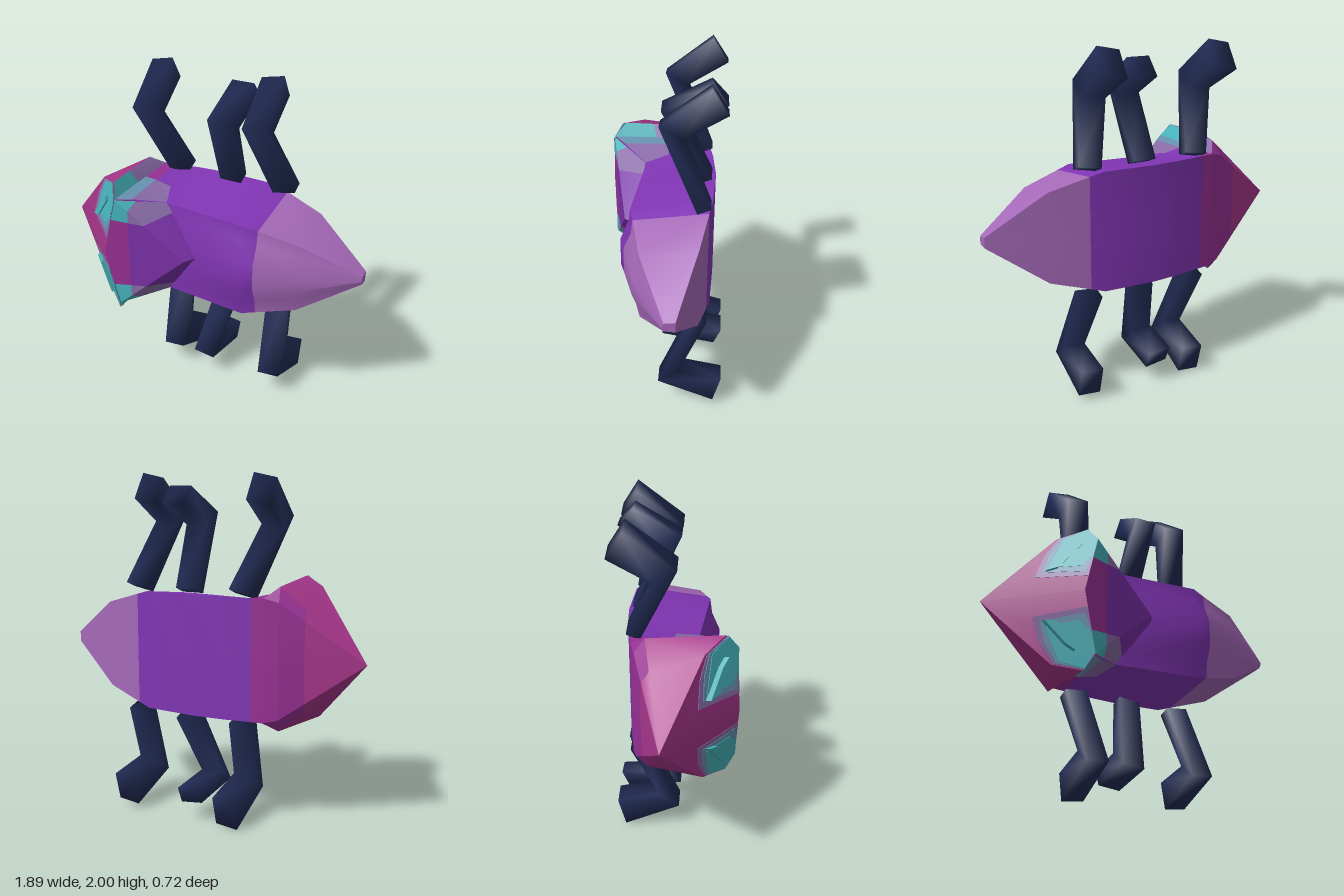
import * as THREE from 'three';
import { mergeVertices, toCreasedNormals } from 'three/addons/utils/BufferGeometryUtils.js';

const CY = 0.98; // height of the mirror plane
const mat = (name, color) => {
  const m = new THREE.MeshStandardMaterial({ color });
  m.name = name;
  return m;
};
const lerp = (a, b, t) => a.map((v, i) => v + (b[i] - v) * t);

// Surface from triangles or quads, mirrored about the mid plane and turned
// so that every face looks away from the inner axis; only sharp edges stay creased.
function mirrored(name, material, faces, xMin, xMax) {
  const pos = [];
  const add = (tri) => {
    const [a, b, c] = tri.map((p) => new THREE.Vector3(...p));
    const n = b.clone().sub(a).cross(c.clone().sub(a));
    if (n.length() < 1e-9) return;
    const mid = a.clone().add(b).add(c).divideScalar(3);
    const out = mid.clone().sub(new THREE.Vector3(THREE.MathUtils.clamp(mid.x, xMin, xMax), 0, -0.04));
    const order = n.dot(out) > 0 ? [a, b, c] : [a, c, b];
    order.forEach((p) => pos.push(p.x, p.y + CY, p.z));
  };
  for (const f of faces) {
    for (let i = 1; i < f.length - 1; i++) {
      const t = [f[0], f[i], f[i + 1]];
      add(t);
      add(t.map(([x, y, z]) => [x, -y, z]));
    }
  }
  const g = new THREE.BufferGeometry();
  g.setAttribute('position', new THREE.Float32BufferAttribute(pos, 3));
  const m = new THREE.Mesh(toCreasedNormals(g, 0.65), material);
  m.name = name;
  return m;
}

// Slanted plane of the face
const faceZ = (x, y) => -0.045 + 0.9 * (x + 0.95) - 0.263 * Math.abs(y);

// Thin plate lying on the face plane
function facePlate(name, material, pts, side, depth) {
  const shape = new THREE.Shape(pts.map(([x, y]) => new THREE.Vector2(x, y * side)));
  const g = new THREE.ExtrudeGeometry(shape, { depth, bevelEnabled: false });
  const p = g.attributes.position;
  for (let i = 0; i < p.count; i++) {
    const x = p.getX(i), y = p.getY(i);
    p.setXYZ(i, x, y + CY, faceZ(x, y) + p.getZ(i));
  }
  g.computeVertexNormals();
  const m = new THREE.Mesh(g, material);
  m.name = name;
  return m;
}

// Bent leg: profile in z / distance from the mid plane, slanted along x
function leg(material, side, [root, knee, foot, tip, tilt]) {
  const profile = side > 0
    ? [[-0.19, 0.35], [0.02, 0.8], [-0.25, tip], [-0.34, Math.max(tip - 0.14, 0.85)], [-0.11, 0.73], [-0.265, 0.38]]
    : [[-0.18, 0.355], [0.02, 0.82], [-0.31, tip], [-0.355, Math.max(tip - 0.17, 0.77)], [-0.1, 0.735], [-0.26, 0.38]];
  const shape = new THREE.Shape(profile.map(([z, d]) => new THREE.Vector2(-z, d * side)));
  let g = new THREE.ExtrudeGeometry(shape, { depth: 0.135, bevelEnabled: false });
  g.translate(0, 0, -0.0675).rotateY(Math.PI / 2);
  const p = g.attributes.position;
  for (let i = 0; i < p.count; i++) {
    const x = p.getX(i), y = p.getY(i);
    const shift = Math.abs(y) < 0.6 ? root : p.getZ(i) < -0.2 ? foot : knee;
    p.setX(i, x + shift);
    p.setY(i, y + CY + x * tilt);
  }
  // Soft normals across the whole limb
  g.deleteAttribute('normal');
  g.deleteAttribute('uv');
  g = mergeVertices(g, 1e-4);
  g.computeVertexNormals();
  const m = new THREE.Mesh(g, material);
  m.name = side > 0 ? 'upperLeg' : 'lowerLeg';
  return m;
}

// Half cross-section of the body from belly centre round to back centre
const ring = ([x, zb, wb, zt, wt, zm]) => [
  [x, 0, zb], [x, wb, zb], [x, wt, zt], [x, wt * 0.68, zt + (zm - zt) * 0.2], [x, wt * 0.3, zm], [x, 0, zm],
];

function loft(name, material, sections) {
  const rings = sections.map(ring), faces = [];
  for (let i = 0; i < rings.length - 1; i++) {
    for (let j = 0; j < 5; j++) {
      faces.push([rings[i][j], rings[i][j + 1], rings[i + 1][j + 1], rings[i + 1][j]]);
    }
  }
  if (name === 'tail') faces.push(rings[rings.length - 1]);
  return mirrored(name, material, faces, -0.35, 0.85);
}

export function createModel() {
  const magenta = mat('magenta head', 0xa8378c);
  const plum = mat('plum collar', 0x983094);
  const violet = mat('dark violet shield', 0x7a31a8);
  const purple = mat('purple body', 0x8135b4);
  const lilac = mat('lilac tail', 0xa569b8);
  const teal = mat('teal eyes', 0x46b4bd);
  const mist = mat('blue mist', 0x6893b2);
  const haze = mat('dusty violet', 0x8a6ca8);
  const navy = mat('navy legs', 0x222c55);

  const model = new THREE.Group();
  model.name = 'beetle';

  // Body and tail
  const collarEnd = [-0.35, -0.245, 0.35, 0.27, 0.335, 0.27];
  const tailStart = [0.39, -0.255, 0.327, 0.16, 0.27, 0.215];
  model.add(
    loft('collar', plum, [[-0.42, -0.235, 0.35, 0.33, 0.35, 0.33], collarEnd]),
    loft('body', purple, [collarEnd, [-0.2, -0.27, 0.35, 0.13, 0.29, 0.14],
      [0, -0.287, 0.35, 0.15, 0.29, 0.18], [0.31, -0.272, 0.35, 0.18, 0.29, 0.24], tailStart]),
    loft('tail', lilac, [tailStart, [0.62, -0.21, 0.26, 0.11, 0.21, 0.15],
      [0.945, -0.1, 0.03, -0.04, 0.025, -0.03]]),
  );

  // Pale marks on the sides of the collar
  model.add(
    mirrored('collarMark', mist, [[[-0.42, 0.355, 0], [-0.42, 0.355, 0.335], [-0.35, 0.342, 0.27], [-0.35, 0.349, 0]]], -0.4, -0.3),
    mirrored('collarMarkEdge', haze, [[[-0.35, 0.349, 0], [-0.35, 0.342, 0.27], [-0.2, 0.297, 0.135], [-0.25, 0.328, 0]]], -0.4, -0.2),
  );

  // Pointed head with a flared rim
  const P = [-0.95, 0, -0.045], C = [-0.5, 0, 0.36], A = [-0.42, 0.35, 0.34];
  const B = [-0.46, 0.43, 0.274], M = [-0.6, 0.385, faceZ(-0.6, 0.385)];
  const D = [-0.48, 0.41, -0.15], E = [-0.5, 0.33, -0.21], F = [-0.5, 0, -0.22];
  const G = [-0.42, 0.35, -0.235], H = [-0.42, 0, -0.235];
  const B2 = [-0.467, 0.423, 0.1], A2 = [-0.42, 0.35, 0.08];
  const [D1, E1, F1] = [D, E, F].map((p) => lerp(p, P, 0.3));
  model.add(
    mirrored('head', magenta, [[P, C, A, B, M], [P, M, D1], [M, B, D], [M, D, D1], [P, D1, E1], [P, E1, F1]], -0.7, -0.5),
    mirrored('headBack', plum, [[D1, D, E, E1], [E1, E, F, F1]], -0.7, -0.5),
    mirrored('headRimSide', teal, [[B, A, A2, B2]], -0.6, -0.6),
    mirrored('headRimFade', haze, [[B2, A2, G, D]], -0.6, -0.6),
    mirrored('headRimBack', plum, [[D, G, E], [E, G, H, F]], -0.6, -0.6),
  );

  // Triangular shield behind the head, with marked corners
  const T = [-0.03, 0, 0.25], T2 = [0.01, 0, 0.18], S = [-0.2, 0.295, 0.135];
  const C2 = [-0.35, 0, 0.325], K = [-0.35, 0.287, 0.324], U = [-0.26, 0.206, 0.303];
  const V = [-0.16, 0.24, 0.14], W = [-0.45, 0.22, 0.347], X = [-0.35, 0.212, 0.324];
  const L = lerp(A, S, 0.4);
  model.add(
    mirrored('shieldFront', plum, [[C, W, X, C2]], -0.4, -0.2),
    mirrored('shield', violet, [[C2, X, U, T], [U, V, T], [T, V, T2]], -0.4, -0.2),
    mirrored('shieldCornerMark', teal, [[W, A, K, X], [A, L, K]], -0.4, -0.3),
    mirrored('shieldCorner', haze, [[X, K, U], [K, L, S, U], [U, S, V]], -0.4, -0.3),
  );

  // Eye patches, paling inward, and slanted eyes
  const outer = [[-0.71, 0.12], [-0.48, 0.095], [-0.455, 0.2], [-0.422, 0.345], [-0.46, 0.428], [-0.59, 0.383], [-0.66, 0.27]];
  const middle = [[-0.675, 0.15], [-0.49, 0.125], [-0.456, 0.21], [-0.423, 0.344], [-0.46, 0.427], [-0.58, 0.382], [-0.64, 0.27]];
  const inner = [[-0.65, 0.18], [-0.51, 0.165], [-0.455, 0.23], [-0.425, 0.34], [-0.46, 0.424], [-0.57, 0.375]];
  const eye = [[-0.665, 0.15], [-0.61, 0.165], [-0.5, 0.31], [-0.515, 0.33], [-0.56, 0.29]];
  for (const s of [1, -1]) {
    model.add(
      facePlate('eyePatch', haze, outer, s, 0.003),
      facePlate('eyePatchMiddle', mist, middle, s, 0.006),
      facePlate('eyePatchCentre', teal, inner, s, 0.009),
      facePlate('eye', teal, eye, s, 0.035),
    );
  }

  // Legs: root x, knee x, foot x, reach, tilt
  const upper = [[-0.29, -0.41, -0.43, 1.006, 0.2], [0.05, 0.07, 0.09, 0.95, 0], [0.39, 0.28, 0.27, 1.006, 0.2]];
  const lower = [[-0.29, -0.24, -0.235, 0.973, 0.1], [0.06, -0.02, -0.005, 0.87, -0.13], [0.39, 0.43, 0.44, 0.947, 0.1]];
  upper.forEach((l) => model.add(leg(navy, 1, l)));
  lower.forEach((l) => model.add(leg(navy, -1, l)));
  return model;
}
